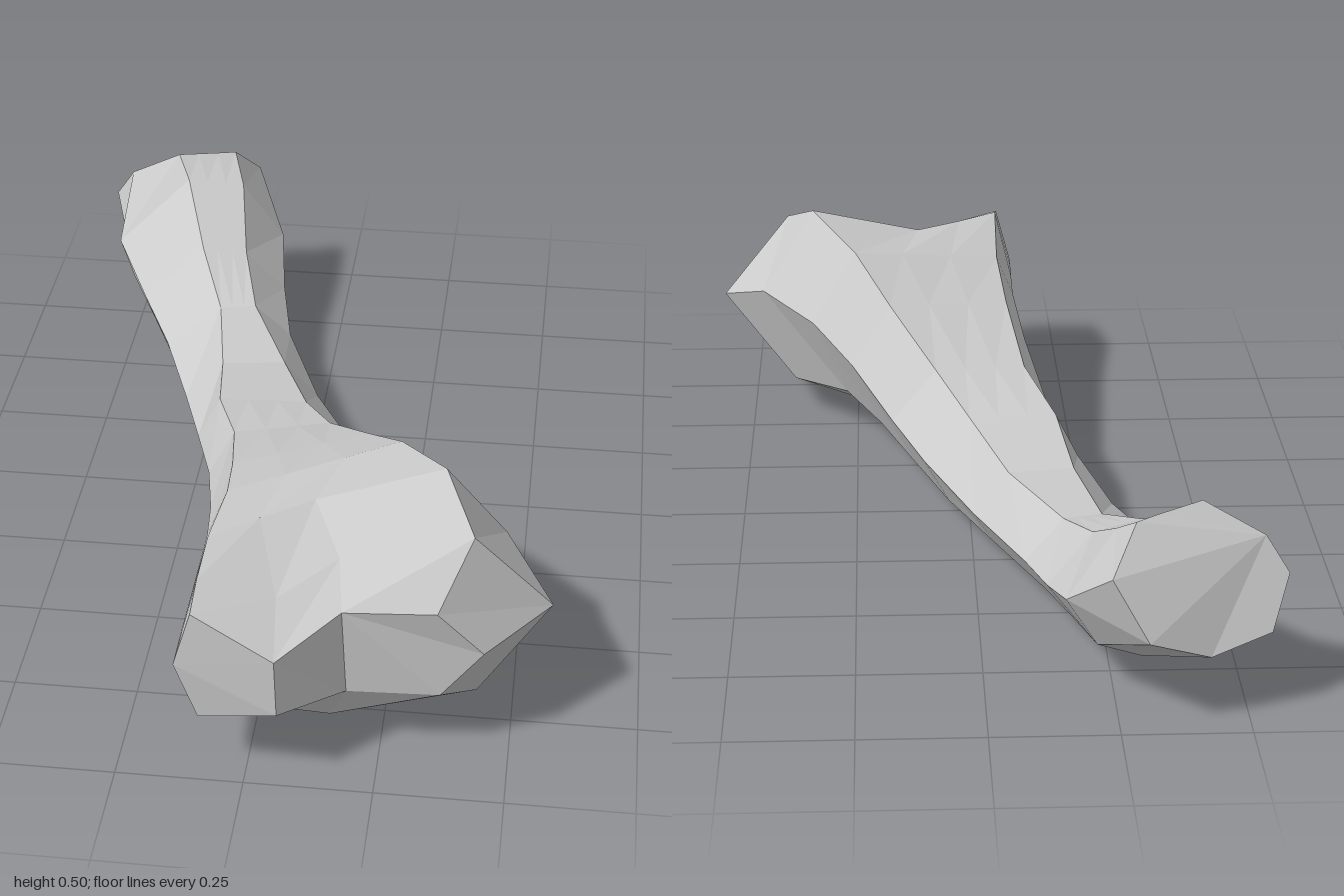
import * as THREE from 'three';

// Rings run clockwise as seen from the front:
// left ridge, four top points, right ridge, four underside points.
const N = 10;

// Shaft ring from its left and right ridge ends, its top edges and its underside
function shaftRing([xL, zL, xR, zR, xTL, xTR, yTL, yTR, yRidge, yBot]) {
  const at = (x, y) => [x, y, zL + (zR - zL) * (x - xL) / (xR - xL)];
  const mix = (a, b, t) => a + (b - a) * t;
  const low = mix(yBot, yRidge, 0.25);
  return [
    at(xL, yRidge),
    at(xTL, yTL),
    at(mix(xTL, xTR, 0.33), mix(yTL, yTR, 0.33)),
    at(mix(xTL, xTR, 0.67), mix(yTL, yTR, 0.67)),
    at(xTR, yTR),
    at(xR, yRidge),
    at(mix(xL, xR, 0.84), low),
    at(mix(xL, xR, 0.62), yBot),
    at(mix(xL, xR, 0.35), yBot),
    at(mix(xL, xR, 0.08), low),
  ];
}

// Slanted flat face of the narrow end
const backEnd = [
  [-0.53, 0.34, -0.85], [-0.41, 0.405, -0.83], [-0.365, 0.4, -0.85], [-0.32, 0.395, -0.87],
  [-0.28, 0.39, -0.89], [-0.23, 0.31, -0.97], [-0.30, 0.19, -1.0], [-0.42, 0.14, -0.96],
  [-0.54, 0.17, -0.92], [-0.575, 0.27, -0.87],
];

// xL, zL, xR, zR, xTopL, xTopR, yTopL, yTopR, yRidge, yBottom
const shaft = [
  [-0.55, -0.75, -0.155, -0.83, -0.38, -0.25, 0.36, 0.34, 0.2, 0.06],
  [-0.46, -0.58, -0.13, -0.66, -0.32, -0.22, 0.265, 0.25, 0.145, 0.04],
  [-0.38, -0.42, -0.095, -0.49, -0.255, -0.175, 0.2, 0.2, 0.115, 0.02],
  [-0.30, -0.2, 0.0, -0.24, -0.215, -0.075, 0.195, 0.195, 0.105, 0.006],
  [-0.24, 0.0, 0.10, -0.02, -0.19, 0.0, 0.23, 0.23, 0.13, 0.0],
  [-0.185, 0.2, 0.17, 0.12, -0.13, 0.07, 0.27, 0.28, 0.17, 0.015],
  [-0.145, 0.43, 0.26, 0.28, -0.10, 0.17, 0.34, 0.37, 0.24, 0.035],
  [-0.125, 0.6, 0.35, 0.42, -0.085, 0.25, 0.39, 0.45, 0.29, 0.045],
].map(shaftRing);

// Crest where the wide end begins
const crest = [
  [-0.13, 0.27, 0.78], [-0.09, 0.43, 0.80], [0.0, 0.432, 0.73], [0.10, 0.435, 0.66],
  [0.35, 0.50, 0.62], [0.47, 0.32, 0.56], [0.40, 0.08, 0.60], [0.20, 0.05, 0.68],
  [0.05, 0.055, 0.72], [-0.09, 0.1, 0.76],
];

// Widest ring of the knuckles
const knuckles = [
  [-0.133, 0.26, 0.88], [-0.097, 0.40, 0.90], [0.05, 0.355, 0.88], [0.16, 0.385, 0.78],
  [0.415, 0.44, 0.76], [0.57, 0.26, 0.71], [0.43, 0.07, 0.75], [0.15, 0.055, 0.84],
  [0.05, 0.085, 0.87], [-0.09, 0.115, 0.88],
];

// Face of the two knuckles, with the step between them
const frontEnd = [
  [-0.135, 0.25, 0.97], [-0.10, 0.37, 0.97], [0.06, 0.29, 0.995], [0.175, 0.335, 0.885],
  [0.355, 0.335, 0.87], [0.445, 0.235, 0.85], [0.365, 0.145, 0.87], [0.185, 0.15, 0.885],
  [0.065, 0.17, 1.0], [-0.09, 0.13, 0.97],
];

export function createModel() {
  const rings = [backEnd, ...shaft, crest, knuckles, frontEnd];
  const index = [];

  // Skin between neighbouring rings
  for (let i = 0; i < rings.length - 1; i++) {
    for (let j = 0; j < N; j++) {
      const a = i * N + j, b = i * N + (j + 1) % N;
      index.push(a, a + N, b, b, a + N, b + N);
    }
  }

  // Back cap
  for (let j = 1; j < N - 1; j++) index.push(0, j, j + 1);

  // Front cap: left knuckle, step, right knuckle
  const base = (rings.length - 1) * N;
  for (const face of [[0, 9, 8, 2, 1], [2, 8, 7, 3], [3, 7, 6, 5, 4]]) {
    for (let k = 1; k < face.length - 1; k++) {
      index.push(base + face[0], base + face[k], base + face[k + 1]);
    }
  }

  const geometry = new THREE.BufferGeometry();
  geometry.setAttribute('position', new THREE.Float32BufferAttribute(rings.flat(2), 3));
  geometry.setIndex(index);
  geometry.computeVertexNormals();

  const bone = new THREE.Mesh(
    geometry,
    new THREE.MeshStandardMaterial({ color: 0xcccccc, flatShading: true })
  );
  bone.name = 'bone';

  const model = new THREE.Group();
  model.name = 'boneModel';
  model.add(bone);
  return model;
}
